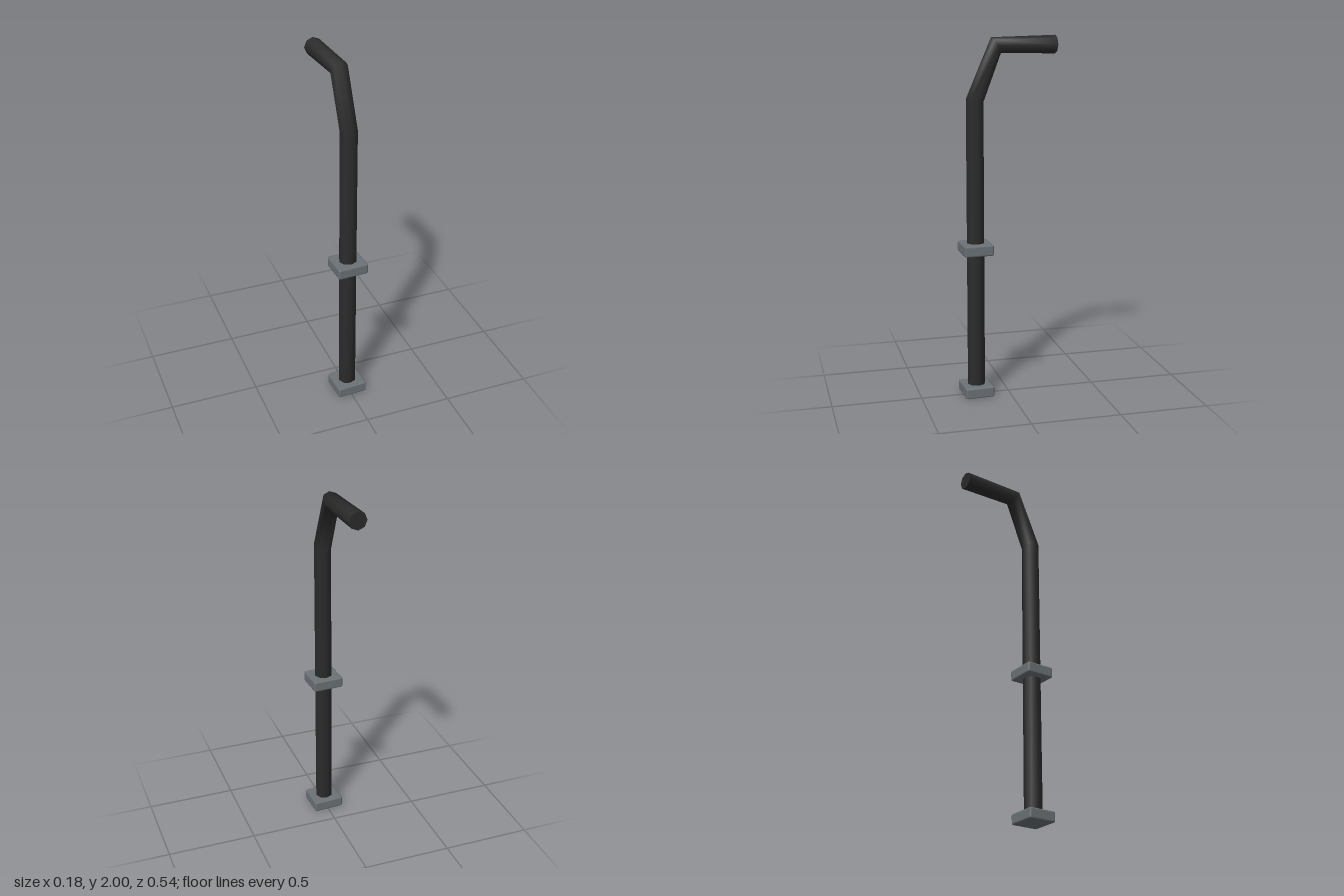
import * as THREE from 'three';
import { RoundedBoxGeometry } from 'three/addons/geometries/RoundedBoxGeometry.js';

const SIDES = 8;
const RADIUS = 0.05;

// Eight-sided pipe swept along a bent path in the YZ plane; points are [y, z]
function pipeGeometry(path) {
  const pts = path.map(([y, z]) => new THREE.Vector3(0, y, z));
  const positions = [], index = [];

  const addRing = (i) => {
    const tangent = new THREE.Vector3();
    if (i > 0) tangent.add(pts[i].clone().sub(pts[i - 1]).normalize());
    if (i < pts.length - 1) tangent.add(pts[i + 1].clone().sub(pts[i]).normalize());
    tangent.normalize();
    const across = new THREE.Vector3(-1, 0, 0);
    const normal = new THREE.Vector3().crossVectors(tangent, across);
    const start = positions.length / 3;
    for (let j = 0; j < SIDES; j++) {
      const a = (j / SIDES) * Math.PI * 2;
      const p = pts[i].clone()
        .addScaledVector(across, RADIUS * Math.cos(a))
        .addScaledVector(normal, RADIUS * Math.sin(a));
      positions.push(p.x, p.y, p.z);
    }
    return start;
  };

  // Smooth walls
  const rings = pts.map((_, i) => addRing(i));
  for (let i = 0; i < rings.length - 1; i++) {
    for (let j = 0; j < SIDES; j++) {
      const k = (j + 1) % SIDES;
      const a = rings[i] + j, b = rings[i] + k, c = rings[i + 1] + k, d = rings[i + 1] + j;
      index.push(a, b, c, a, c, d);
    }
  }

  // Flat end caps with their own vertices
  const first = addRing(0), last = addRing(pts.length - 1);
  for (let j = 1; j < SIDES - 1; j++) {
    index.push(first, first + j + 1, first + j);
    index.push(last, last + j, last + j + 1);
  }

  const geometry = new THREE.BufferGeometry();
  geometry.setAttribute('position', new THREE.Float32BufferAttribute(positions, 3));
  geometry.setIndex(index);
  geometry.computeVertexNormals();
  return geometry;
}

export function createModel() {
  const pipeMaterial = new THREE.MeshStandardMaterial({ color: 0x2b2b2b });
  pipeMaterial.name = 'black pipe';
  const bracketMaterial = new THREE.MeshStandardMaterial({ color: 0x6b7276 });
  bracketMaterial.name = 'grey metal';

  const model = new THREE.Group();
  model.name = 'bentPipe';

  // Whole assembly turned slightly about the upright
  const assembly = new THREE.Group();
  assembly.name = 'pipeAssembly';
  assembly.position.z = 0.185;
  assembly.rotation.y = 0.0525;
  model.add(assembly);

  // Upright, sloping elbow and rear outlet
  const pipe = new THREE.Mesh(
    pipeGeometry([[0.02, 0], [1.662, 0], [1.954, -0.12], [1.953, -0.455]]),
    pipeMaterial
  );
  pipe.name = 'pipe';
  assembly.add(pipe);

  // Base plate and middle collar
  const bracketGeometry = new RoundedBoxGeometry(0.174, 0.062, 0.164, 1, 0.01);
  for (const [name, y] of [['basePlate', 0.031], ['middleCollar', 0.849]]) {
    const bracket = new THREE.Mesh(bracketGeometry, bracketMaterial);
    bracket.name = name;
    bracket.position.y = y;
    assembly.add(bracket);
  }

  return model;
}
